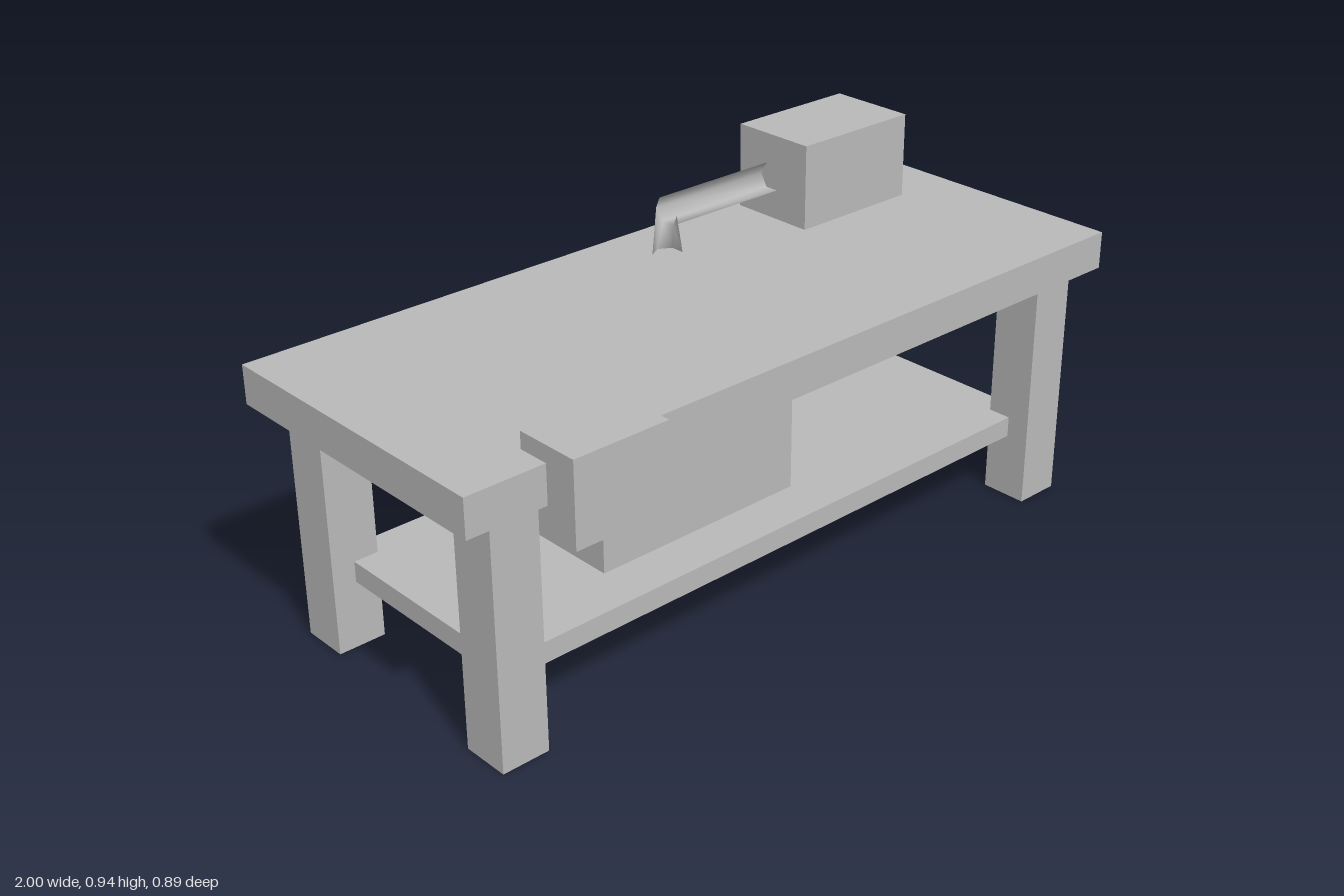
import * as THREE from 'three';

const grey = new THREE.MeshStandardMaterial({ color: 0xb8b8b8 });
grey.name = 'plain grey';

// Box given by its lower and upper limits on each axis
function block(name, [x0, x1], [y0, y1], [z0, z1]) {
  const mesh = new THREE.Mesh(new THREE.BoxGeometry(x1 - x0, y1 - y0, z1 - z0), grey);
  mesh.position.set((x0 + x1) / 2, (y0 + y1) / 2, (z0 + z1) / 2);
  mesh.name = name;
  return mesh;
}

// Smooth six-sided pipe; each ring has a centre and an in-plane "up" direction
function bentPipe(rings, radius, z) {
  const sides = 6, positions = [], index = [];
  for (const { x, y, up } of rings) {
    for (let i = 0; i < sides; i++) {
      const a = (i / sides) * Math.PI * 2;
      const u = Math.sin(a) * radius;
      positions.push(x + up[0] * u, y + up[1] * u, z + Math.cos(a) * radius);
    }
  }
  for (let r = 0; r < rings.length - 1; r++) {
    for (let i = 0; i < sides; i++) {
      const a = r * sides + i, b = r * sides + (i + 1) % sides;
      index.push(a, a + sides, b, b, a + sides, b + sides);
    }
  }
  const geometry = new THREE.BufferGeometry();
  geometry.setAttribute('position', new THREE.Float32BufferAttribute(positions, 3));
  geometry.setIndex(index);
  geometry.computeVertexNormals();
  return geometry;
}

export function createModel() {
  const bench = new THREE.Group();
  bench.name = 'workbench';

  // Bench top, lower shelf and the crate on it
  bench.add(
    block('benchTop', [-1, 1], [0.62, 0.717], [-0.446, 0.361]),
    block('shelf', [-0.86, 0.86], [0.172, 0.226], [-0.353, 0.267]),
    block('crate', [-0.475, 0.12], [0.226, 0.52], [-0.225, 0.14])
  );

  // Four square legs
  for (const side of [-1, 1]) {
    const x = side < 0 ? [-0.92, -0.796] : [0.796, 0.92];
    bench.add(block('frontLeg', x, [0, 0.62], [0.204, 0.329]));
    bench.add(block('backLeg', x, [0, 0.62], [-0.414, -0.289]));
  }

  // Vise block over the front edge, machine housing at the back
  bench.add(
    block('vise', [-0.796, -0.545], [0.55, 0.759], [0.28, 0.448]),
    block('machineHousing', [0.46, 0.825], [0.717, 0.94], [-0.4, -0.163])
  );

  // Pipe from the housing, bending down to the bench top
  const pipe = new THREE.Mesh(bentPipe([
    { x: 0.5, y: 0.828, up: [0, 1] },
    { x: 0.1, y: 0.828, up: [-0.16, 0.987] },
    { x: 0.102, y: 0.717, up: [-1, 0] },
  ], 0.038, -0.284), grey);
  pipe.name = 'machinePipe';
  bench.add(pipe);

  return bench;
}
